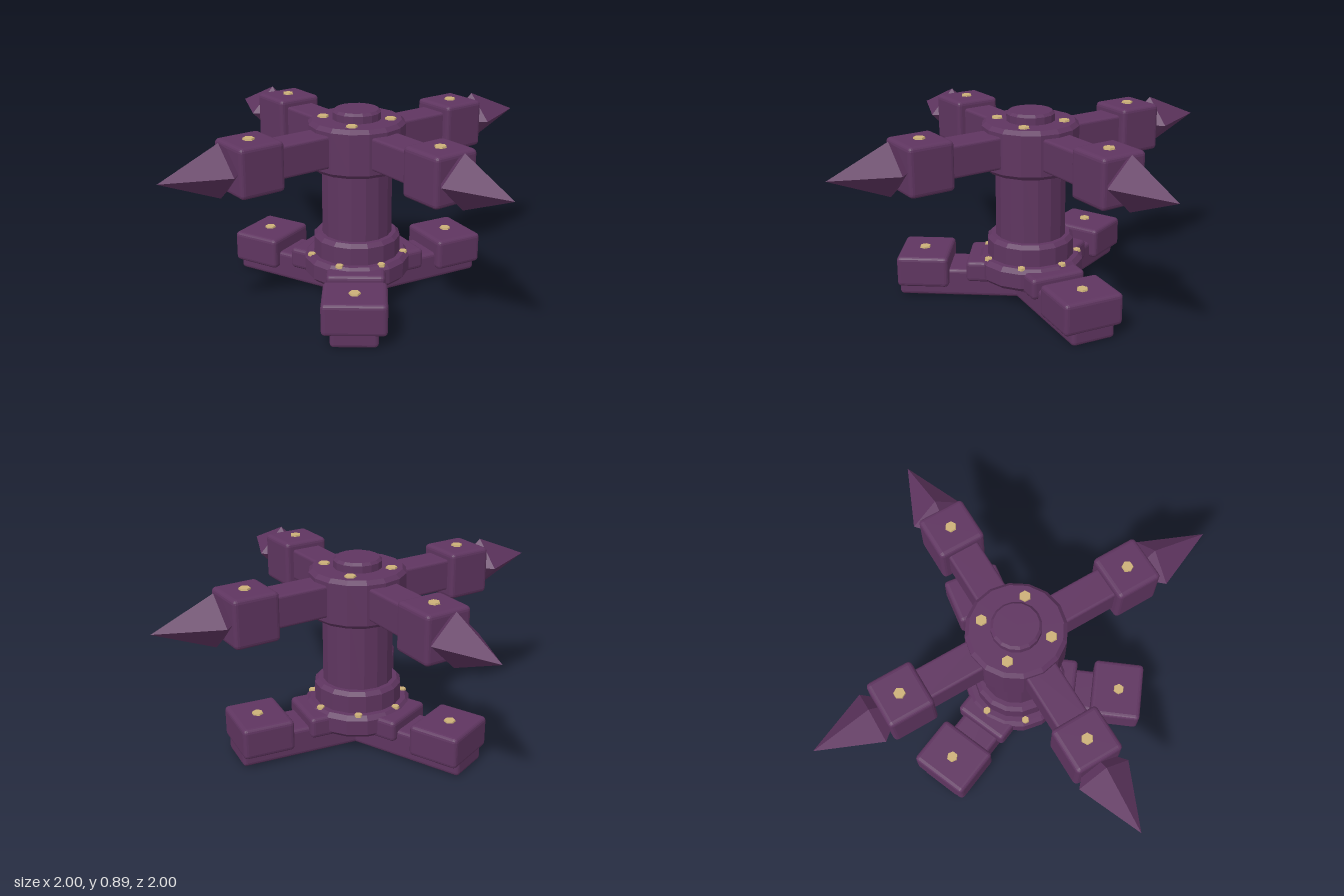
import * as THREE from 'three';
import { RoundedBoxGeometry } from 'three/addons/geometries/RoundedBoxGeometry.js';

export function createModel() {
  const model = new THREE.Group();
  model.name = 'spikedTurnstile';

  const purple = new THREE.MeshStandardMaterial({ color: 0x5f3560 });
  purple.name = 'darkPurple';
  purple.flatShading = true;
  const gold = new THREE.MeshStandardMaterial({ color: 0xccb078 });
  gold.name = 'paleGold';
  gold.flatShading = true;

  function add(parent, name, geometry, material, x = 0, y = 0, z = 0) {
    const mesh = new THREE.Mesh(geometry, material);
    mesh.name = name;
    mesh.position.set(x, y, z);
    parent.add(mesh);
    return mesh;
  }

  // Rounded block lying along +x from x0 to x1, between heights y0 and y1
  function block(parent, name, x0, x1, y0, y1, halfWidth, radius) {
    const geometry = new RoundedBoxGeometry(x1 - x0, y1 - y0, halfWidth * 2, 2, radius);
    add(parent, name, geometry, purple, (x0 + x1) / 2, (y0 + y1) / 2, 0);
  }

  // Bevelled drum between two heights
  function drum(name, radius, y0, y1, bevel, sides = 16) {
    const profile = [
      [0, y0], [radius - bevel, y0], [radius, y0 + bevel],
      [radius, y1 - bevel], [radius - bevel, y1], [0, y1],
    ].map(([r, y]) => new THREE.Vector2(r, y));
    add(model, name, new THREE.LatheGeometry(profile, sides), purple);
  }

  // Small hexagonal rivet standing on a surface
  const rivetGeometry = new THREE.CylinderGeometry(0.025, 0.028, 0.012, 6);
  const rivet = (parent, x, y, z) => add(parent, 'rivet', rivetGeometry, gold, x, y + 0.002, z);

  // Group turned so that its +x axis points along the angle, from +x towards +z
  function spoke(name, degrees) {
    const group = new THREE.Group();
    group.name = name;
    group.rotation.y = -THREE.MathUtils.degToRad(degrees);
    model.add(group);
    return group;
  }

  // Central post, from the base to the cap
  drum('baseDisc', 0.25, 0.09, 0.2, 0.02);
  drum('collar', 0.205, 0.18, 0.3, 0.018);
  drum('column', 0.165, 0.25, 0.66, 0.005);
  drum('hub', 0.225, 0.62, 0.845, 0.018);
  drum('cap', 0.112, 0.82, 0.89, 0.012);

  // Rivets on the hub and around the base disc
  for (const x of [-0.11, 0.11]) for (const z of [-0.11, 0.11]) rivet(model, x, 0.845, z);
  for (let i = 0; i < 7; i++) {
    const a = Math.PI / 4 + (i * Math.PI * 2) / 7;
    const bolt = rivet(model, Math.cos(a) * 0.222, 0.198, Math.sin(a) * 0.222);
    bolt.scale.set(0.7, 1, 0.7);
  }

  // Three feet
  for (const angle of [8, 128, 248]) {
    const leg = spoke('leg', angle);
    block(leg, 'legBeam', -0.03, 0.617, 0, 0.135, 0.105, 0.018);
    block(leg, 'legBracket', 0.12, 0.295, 0.085, 0.187, 0.135, 0.02);
    block(leg, 'footBlock', 0.378, 0.622, 0.055, 0.205, 0.143, 0.02);
    rivet(leg, 0.507, 0.205, 0);
  }

  // Four-sided spike, widest just outside the arm block
  const spikeGeometry = new THREE.LatheGeometry(
    [[0, 0.62], [0.04, 0.62], [0.122, 0.715], [0, 1]].map(([r, y]) => new THREE.Vector2(r, y)), 4);
  spikeGeometry.rotateZ(-Math.PI / 2);

  // Four arms
  for (let i = 0; i < 4; i++) {
    const arm = spoke('arm', i * 90);
    block(arm, 'armBeam', 0.1, 0.5, 0.66, 0.81, 0.075, 0.012);
    block(arm, 'armBlock', 0.46, 0.677, 0.62, 0.845, 0.112, 0.02);
    rivet(arm, 0.57, 0.845, 0);
    add(arm, 'spike', spikeGeometry, purple, 0, 0.733, 0);
  }

  return model;
}
